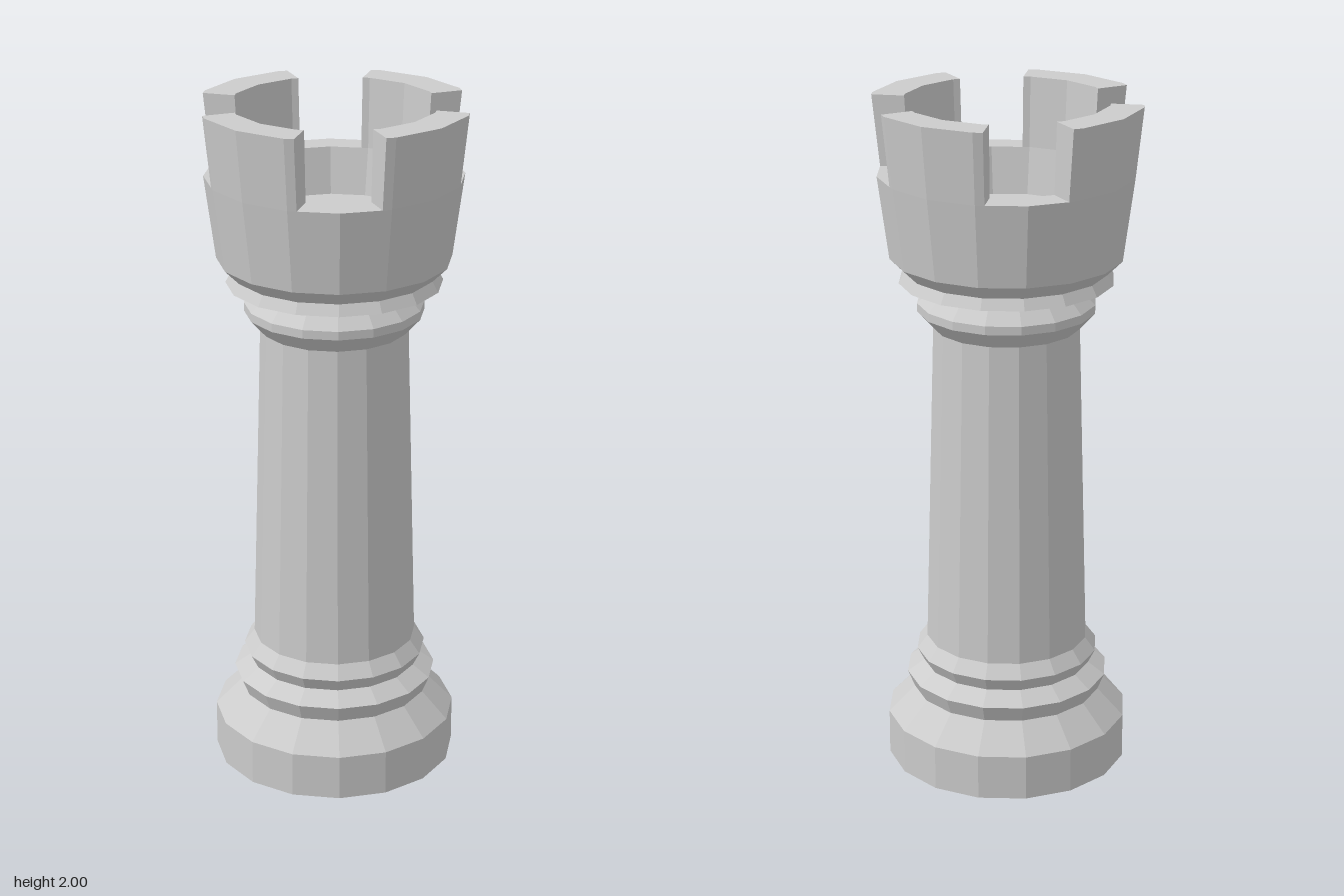
import * as THREE from 'three';

const SIDES = 16;
const STEP = (Math.PI * 2) / SIDES;
const material = new THREE.MeshStandardMaterial({ color: 0xcccccc, flatShading: true });

// Faceted turned part from [radius, height] pairs
function turned(name, profile) {
  const points = profile.map(([r, y]) => new THREE.Vector2(r, y));
  const mesh = new THREE.Mesh(new THREE.LatheGeometry(points, SIDES), material);
  mesh.name = name;
  return mesh;
}

// Wall block that follows the faceted ring between -half and +half around +z
function merlonGeometry(half) {
  const section = [[0.367, 1.795], [0.389, 2], [0.294, 2], [0.283, 1.795]];
  const angles = [-half, -STEP, 0, STEP, half];
  // End cuts fall part way along a facet, so their radius shrinks a little
  const shrink = Math.cos(STEP / 2) / Math.cos(half - STEP * 1.5);
  const rings = angles.map((a) => {
    const k = Math.abs(a) > STEP ? shrink : 1;
    return section.map(([r, y]) => [r * k * Math.sin(a), y, r * k * Math.cos(a)]);
  });
  const positions = [];
  const quad = (a, b, c, d) => positions.push(...a, ...b, ...c, ...a, ...c, ...d);
  for (let i = 0; i < rings.length - 1; i++) {
    const p = rings[i], q = rings[i + 1];
    for (let j = 0; j < 3; j++) quad(p[j], q[j], q[j + 1], p[j + 1]);
  }
  const first = rings[0], last = rings[rings.length - 1];
  quad(first[0], first[1], first[2], first[3]);
  quad(last[0], last[3], last[2], last[1]);
  const geometry = new THREE.BufferGeometry();
  geometry.setAttribute('position', new THREE.Float32BufferAttribute(positions, 3));
  geometry.computeVertexNormals();
  return geometry;
}

export function createModel() {
  const group = new THREE.Group();
  group.name = 'rook';

  // Plinth with sloped shoulder, and two rings above it
  group.add(turned('base', [[0, 0], [0.358, 0], [0.358, 0.135], [0.28, 0.215]]));
  group.add(turned('baseRings', [
    [0.28, 0.215], [0.3, 0.265], [0.25, 0.3], [0.27, 0.34], [0.24, 0.38],
  ]));

  // Tapered column
  group.add(turned('shaft', [[0.24, 0.38], [0.213, 1.345]]));

  // Collar rings under the cup
  group.add(turned('collar', [
    [0.213, 1.345], [0.258, 1.395], [0.258, 1.42], [0.225, 1.455],
    [0.31, 1.482], [0.293, 1.513], [0.335, 1.555],
  ]));

  // Cup: flared wall, ledge, inner wall and sunken floor
  group.add(turned('cup', [
    [0.335, 1.555], [0.367, 1.795], [0.283, 1.795], [0.258, 1.66], [0, 1.66],
  ]));

  // Four merlons
  const geometry = merlonGeometry(THREE.MathUtils.degToRad(26.5));
  for (let i = 0; i < 4; i++) {
    const merlon = new THREE.Mesh(geometry, material);
    merlon.name = `merlon${i + 1}`;
    merlon.rotation.y = (i * Math.PI) / 2;
    group.add(merlon);
  }
  return group;
}
